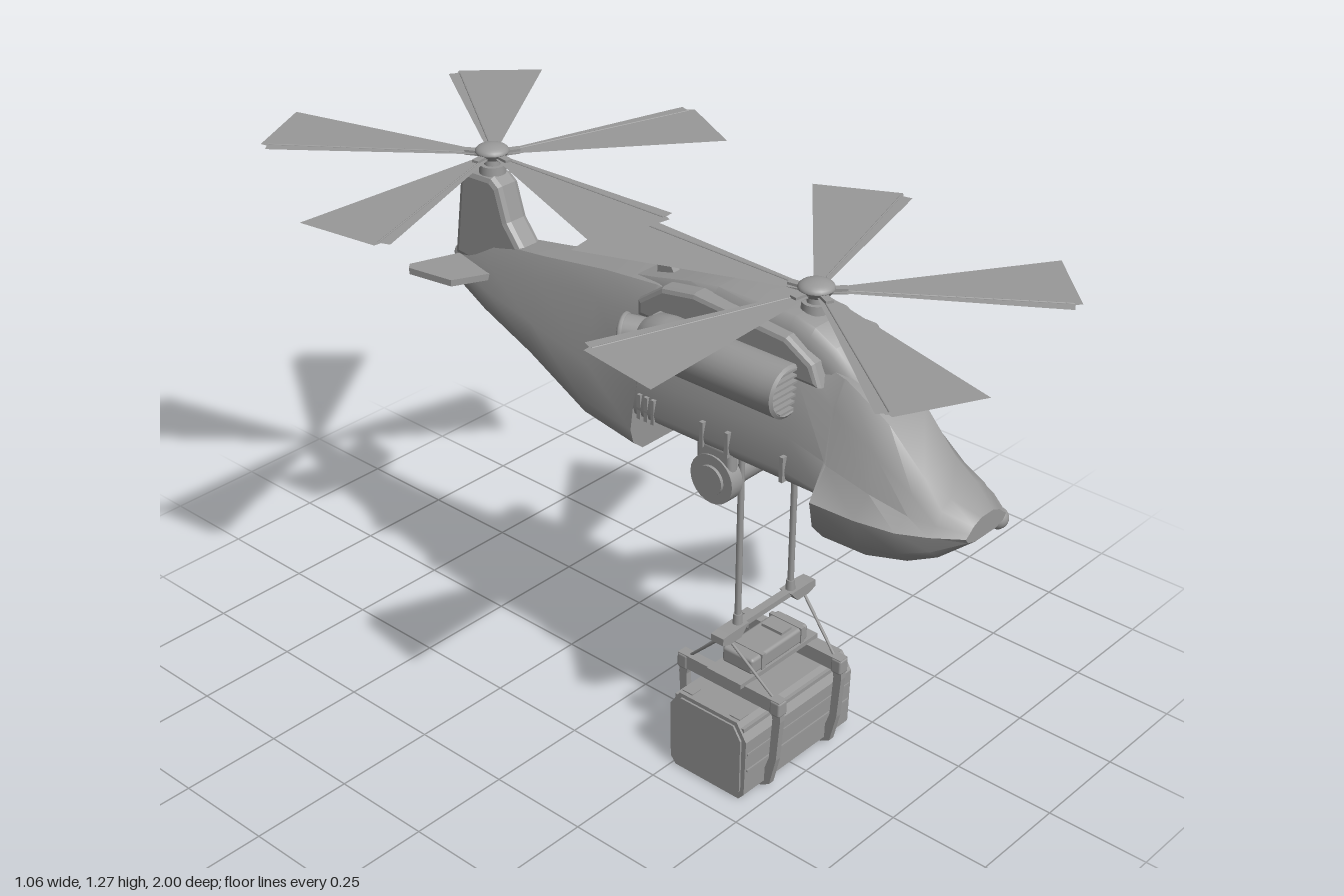
import * as THREE from 'three';
import { toCreasedNormals } from 'three/addons/utils/BufferGeometryUtils.js';
import { RoundedBoxGeometry } from 'three/addons/geometries/RoundedBoxGeometry.js';

const mat = new THREE.MeshStandardMaterial({ color: 0x999999, side: THREE.DoubleSide });

function add(parent, name, geo, x = 0, y = 0, z = 0) {
  const m = new THREE.Mesh(geo, mat);
  m.name = name;
  m.position.set(x, y, z);
  parent.add(m);
  return m;
}
const box = (p, name, w, h, d, x, y, z) => add(p, name, new THREE.BoxGeometry(w, h, d), x, y, z);
const mix = THREE.MathUtils.lerp;

// Skin rings running from front to back; each ring is [z, [x, y] pairs of the +x half, bottom to top]
function loft(sections, crease = 0.75) {
  const rings = sections.map(([z, half]) => [
    ...half.map(([x, y]) => [x, y, z]),
    ...half.slice().reverse().map(([x, y]) => [-x, y, z]),
  ]);
  const n = rings[0].length, pos = rings.flat(2), idx = [];
  for (let r = 0; r < rings.length - 1; r++) {
    for (let i = 0; i < n; i++) {
      const j = (i + 1) % n, a = r * n, b = a + n;
      idx.push(a + i, b + i, a + j, a + j, b + i, b + j);
    }
  }
  const last = (rings.length - 1) * n;
  for (let i = 1; i < n - 1; i++) {
    idx.push(0, i, i + 1, last, last + i + 1, last + i);
  }
  const g = new THREE.BufferGeometry();
  g.setAttribute('position', new THREE.Float32BufferAttribute(pos, 3));
  g.setIndex(idx);
  return toCreasedNormals(g, crease);
}

// Side outline of [z, y] points, extruded across x and centred on it
function sideExtrude(pts, width, bevel = 0) {
  const g = new THREE.ExtrudeGeometry(new THREE.Shape(pts.map(p => new THREE.Vector2(...p))), {
    depth: width, bevelEnabled: bevel > 0, bevelSize: bevel, bevelThickness: bevel, bevelOffset: -bevel, bevelSegments: 2,
  });
  return g.rotateY(-Math.PI / 2).translate(width / 2, 0, 0);
}

// Straight rod between two points
function rod(parent, name, a, b, r) {
  const path = new THREE.LineCurve3(new THREE.Vector3(...a), new THREE.Vector3(...b));
  return add(parent, name, new THREE.TubeGeometry(path, 1, r, 8));
}

function fuselage(g) {
  // z, keel half-width & y, chine half-width & y, neck half-width, shoulder half-width & y, roof half-width & y
  const hull = [
    [0.92, 0.035, 0.82, 0.07, 0.84, 0.06, 0.045, 0.86, 0.02, 0.87],
    [0.86, 0.075, 0.775, 0.115, 0.84, 0.09, 0.075, 0.885, 0.045, 0.90],
    [0.80, 0.095, 0.75, 0.147, 0.84, 0.105, 0.09, 0.90, 0.055, 0.93],
    [0.71, 0.115, 0.735, 0.165, 0.84, 0.118, 0.098, 0.96, 0.06, 1.02],
    [0.60, 0.12, 0.735, 0.17, 0.84, 0.12, 0.10, 1.03, 0.065, 1.085],
    [0.595, 0.12, 0.83, 0.135, 0.85, 0.12, 0.10, 1.03, 0.065, 1.085],
    [0.50, 0.12, 0.83, 0.135, 0.86, 0.12, 0.10, 1.07, 0.06, 1.11],
    [0.085, 0.12, 0.83, 0.142, 0.86, 0.125, 0.10, 1.06, 0.06, 1.125],
    [0.08, 0.105, 0.74, 0.145, 0.80, 0.128, 0.10, 1.06, 0.06, 1.125],
    [-0.08, 0.095, 0.755, 0.132, 0.815, 0.115, 0.085, 1.05, 0.05, 1.105],
    [-0.28, 0.07, 0.83, 0.10, 0.87, 0.09, 0.065, 1.02, 0.04, 1.07],
    [-0.45, 0.055, 0.88, 0.075, 0.91, 0.07, 0.055, 1.0, 0.03, 1.045],
    [-0.57, 0.03, 0.91, 0.045, 0.94, 0.04, 0.03, 0.98, 0.015, 1.0],
    [-0.605, 0.01, 0.96, 0.015, 0.968, 0.015, 0.012, 0.98, 0.006, 0.985],
  ];
  add(g, 'fuselage', loft(hull.map(([z, wb, yb, wm, ym, wn, wu, yu, wt, yt]) => [z, [
    [wb, yb], [mix(wb, wm, 0.75), mix(yb, ym, 0.4)], [wm, ym], [wn, mix(ym, yu, 0.35)], [wu, yu], [wt, yt]]])));

  // Rotor deck on the roof
  const deck = [[0.62, 0.055, 1.08], [0.56, 0.07, 1.135], [0.51, 0.08, 1.168], [0.46, 0.082, 1.178],
    [0.25, 0.08, 1.175], [0.17, 0.075, 1.16], [0.06, 0.06, 1.13], [-0.06, 0.04, 1.1]];
  add(g, 'rotorDeck', loft(deck.map(([z, w, y]) =>
    [z, [[w, 1.03], [w, y - 0.045], [w * 0.9, y - 0.015], [w * 0.7, y]]])));
  add(g, 'roofFin', sideExtrude([[0.1, 1.11], [0.05, 1.19], [0.04, 1.19], [0.035, 1.11]], 0.02));

  // Cockpit brow
  add(g, 'browWindow', new RoundedBoxGeometry(0.1, 0.014, 0.05, 2, 0.006), 0, 1.04, 0.67).rotation.x = 0.55;
  // Nose sensor, on the left only
  add(g, 'noseSensor', new THREE.CapsuleGeometry(0.024, 0.06, 6, 16).rotateX(Math.PI / 2), 0.074, 0.817, 0.868);

  // Tail fin and stabilizers
  add(g, 'tailFin', sideExtrude([[-0.35, 1.04], [-0.405, 1.11], [-0.43, 1.19], [-0.455, 1.208],
    [-0.54, 1.205], [-0.56, 1.17], [-0.585, 0.98], [-0.4, 0.96]], 0.04, 0.015));
  for (const s of [-1, 1]) {
    const plan = new THREE.Shape([[0.02, -0.42], [0.145, -0.48], [0.165, -0.60], [0.15, -0.615], [0.02, -0.57]]
      .map(([x, z]) => new THREE.Vector2(s * x, z)));
    add(g, 'stabilizer', new THREE.ExtrudeGeometry(plan, { depth: 0.016, bevelEnabled: false }).rotateX(Math.PI / 2), 0, 0.982, 0);
  }
}

function side(g, s) {
  // Engine nacelle with slatted intake and exhaust
  const e = new THREE.Group();
  e.name = 'engine';
  e.position.set(s * 0.128, 1.045, 0);
  g.add(e);
  const prof = [[0.05, 0.485], [0.053, 0.505], [0.06, 0.50], [0.06, 0.47], [0.06, 0.18], [0.055, 0.14], [0.04, 0.115], [0, 0.105]];
  const nacelle = new THREE.LatheGeometry(prof.map(([r, z]) => new THREE.Vector2(r, z)).reverse(), 28);
  add(e, 'nacelle', toCreasedNormals(nacelle.rotateX(Math.PI / 2), 0.6));
  add(e, 'intakeBack', new THREE.CircleGeometry(0.055, 24), 0, 0, 0.485);
  for (let i = -3; i <= 3; i++) {
    const y = i * 0.015;
    box(e, 'intakeSlat', 2 * Math.sqrt(0.052 ** 2 - y * y), 0.005, 0.02, 0, y, 0.494);
  }
  box(e, 'nacellePylon', 0.07, 0.1, 0.36, -s * 0.035, 0, 0.31);
  const ex = add(e, 'exhaust', new THREE.CylinderGeometry(0.034, 0.038, 0.09, 20, 1, true).rotateX(Math.PI / 2), s * 0.005, 0, 0.11);
  ex.rotation.y = -s * 0.4;
  add(ex, 'exhaustRing', new THREE.TorusGeometry(0.035, 0.007, 8, 20), 0, 0, -0.045);
  add(ex, 'exhaustCore', new THREE.SphereGeometry(0.02, 14, 10), 0, 0, -0.035);

  // Cowl above the engine
  add(g, 'upperCowl', sideExtrude([[0.56, 1.06], [0.54, 1.11], [0.47, 1.15], [0.22, 1.165], [0.13, 1.15], [0.06, 1.10], [0.06, 1.06]],
    0.026, 0.012), s * 0.079, 0, 0);

  // Hull ribs and winch pod
  for (const z of [0.5, 0.35, 0.28, 0.14, 0.12, 0.1]) box(g, 'hullRib', 0.02, 0.06, 0.01, s * 0.131, 0.865, z);
  add(g, 'winchStrut', new RoundedBoxGeometry(0.03, 0.09, 0.1, 2, 0.012), s * 0.12, 0.805, 0.31);
  add(g, 'winchDrumEnd', new THREE.CylinderGeometry(0.059, 0.059, 0.035, 24).rotateZ(Math.PI / 2), s * 0.122, 0.765, 0.31);
  add(g, 'winchHub', new THREE.CylinderGeometry(0.035, 0.035, 0.01, 20).rotateZ(Math.PI / 2), s * 0.142, 0.765, 0.31);
}

// Five-bladed rotor of thin sheet blades; dir sets the handedness
function rotor(g, name, y, z, dir) {
  const r = new THREE.Group();
  r.name = name;
  r.position.set(0.006, y, z);
  g.add(r);
  const outline = [[0.02, -0.01], [0.53, -0.118], [0.532, 0.088], [0.515, 0.092], [0.51, 0.113], [0.46, 0.103], [0.02, 0.01]];
  const blade = new THREE.ShapeGeometry(new THREE.Shape(outline.map(([a, b]) => new THREE.Vector2(a, b * dir)))).rotateX(-Math.PI / 2);
  for (let i = 0; i < 5; i++) {
    const arm = new THREE.Group();
    arm.name = 'bladeArm';
    arm.rotation.y = -dir * (Math.PI / 4 + i * Math.PI * 0.4);
    r.add(arm);
    // The sheet is flipped so that the spar edge leads
    add(arm, 'blade', blade).scale.z = -1;
    rod(arm, 'bladeSpar', [0.02, 0, 0], [0.515, 0, dir * 0.085], 0.0022);
    box(arm, 'bladeGrip', 0.05, 0.012, 0.018, 0.04, 0, 0);
  }
  add(r, 'hubCap', new THREE.SphereGeometry(0.04, 20, 8, 0, Math.PI * 2, 0, Math.PI / 2).scale(1, 0.45, 1), 0, 0.007, 0);
  add(r, 'hubPlate', new THREE.CylinderGeometry(0.04, 0.03, 0.014, 20), 0, 0, 0);
  add(r, 'mast', new THREE.CylinderGeometry(0.017, 0.025, 0.07, 16), 0, -0.035, 0);
  add(r, 'swashplate', new THREE.CylinderGeometry(0.03, 0.032, 0.02, 16), 0, -0.034, 0);
}

function cargo(g) {
  const c = new THREE.Group();
  c.name = 'slungCargo';
  c.position.set(0.007, 0, 0.355);
  g.add(c);
  // Container with end plates and side battens
  add(c, 'container', sideExtrude([[-0.095, 0], [0.095, 0], [0.11, 0.018], [0.113, 0.165], [0.085, 0.208],
    [-0.085, 0.208], [-0.113, 0.165], [-0.11, 0.018]], 0.38));
  add(c, 'endPlate', sideExtrude([[-0.085, 0.008], [0.085, 0.008], [0.1, 0.025], [0.1, 0.165], [0.078, 0.198],
    [-0.078, 0.198], [-0.1, 0.165], [-0.1, 0.025]], 0.39));
  for (const s of [-1, 1]) {
    for (const y of [0.085, 0.13]) box(c, 'batten', 0.37, 0.005, 0.006, 0, y, s * 0.112);
    box(c, 'topRail', 0.37, 0.01, 0.012, 0, 0.19, s * 0.096);
    for (const x of [-0.165, 0.165]) box(c, 'cornerBlock', 0.03, 0.016, 0.03, x, 0.203, s * 0.07);
  }
  // Top frame and gear box
  box(c, 'topFrame', 0.275, 0.012, 0.1, 0, 0.26, 0);
  add(c, 'gearBox', new RoundedBoxGeometry(0.2, 0.042, 0.09, 2, 0.008), 0.008, 0.284, 0);
  box(c, 'gearHousing', 0.035, 0.05, 0.06, 0.047, 0.287, 0);
  for (const x of [-0.055, 0.085]) box(c, 'gearBand', 0.012, 0.046, 0.096, x, 0.284, 0);

  for (const sx of [-1, 1]) {
    const x = sx * 0.11;
    // Clamp bands around the container
    box(c, 'clampBar', 0.026, 0.035, 0.3, x, 0.238, 0);
    for (const sz of [-1, 1]) {
      const band = [[0.148, 0.25], [0.15, 0.2], [0.142, 0.09], [0.125, 0.015], [0.1, 0.001], [0.07, 0.001], [0.07, 0.012],
        [0.1, 0.022], [0.122, 0.09], [0.128, 0.2], [0.12, 0.235]];
      add(c, 'clampArm', sideExtrude(band.map(([z, y]) => [z * sz, y]), 0.016), x, 0, 0);
      add(c, 'clampJoint', new RoundedBoxGeometry(0.03, 0.04, 0.03, 2, 0.006), x, 0.235, sz * 0.137);
      rod(c, 'slingLeg', [sx * 0.132, 0.375, 0], [x, 0.255, sz * 0.12], 0.0035);
    }
    // Lifting beam ends and hoist cables
    add(c, 'beamEnd', new THREE.ExtrudeGeometry(new THREE.Shape([[0.075, 0.39], [0.1, 0.362], [0.14, 0.362], [0.163, 0.37], [0.163, 0.388], [0.14, 0.39]]
      .map(([a, b]) => new THREE.Vector2(sx * a, b))), { depth: 0.036, bevelEnabled: false }), 0, 0, -0.018);
    add(c, 'cableShackle', new THREE.CylinderGeometry(0.01, 0.012, 0.03, 12), sx * 0.093, 0.4, 0);
    rod(c, 'hoistCable', [sx * 0.093, 0.39, 0], [sx * 0.093, 0.84, 0], 0.0075);
  }
  box(c, 'liftingBeam', 0.19, 0.014, 0.02, 0, 0.383, 0);
}

export function createModel() {
  const g = new THREE.Group();
  g.name = 'tandemRotorHelicopter';
  const hull = new THREE.Group();
  hull.name = 'hull';
  hull.position.x = 0.006;
  g.add(hull);
  fuselage(hull);
  for (const s of [-1, 1]) side(hull, s);
  add(hull, 'winchDrum', new THREE.CylinderGeometry(0.04, 0.04, 0.24, 20).rotateZ(Math.PI / 2), 0, 0.765, 0.31);
  rotor(g, 'frontRotor', 1.217, 0.465, 1);
  rotor(g, 'rearRotor', 1.25, -0.48, -1);
  cargo(g);
  return g;
}
